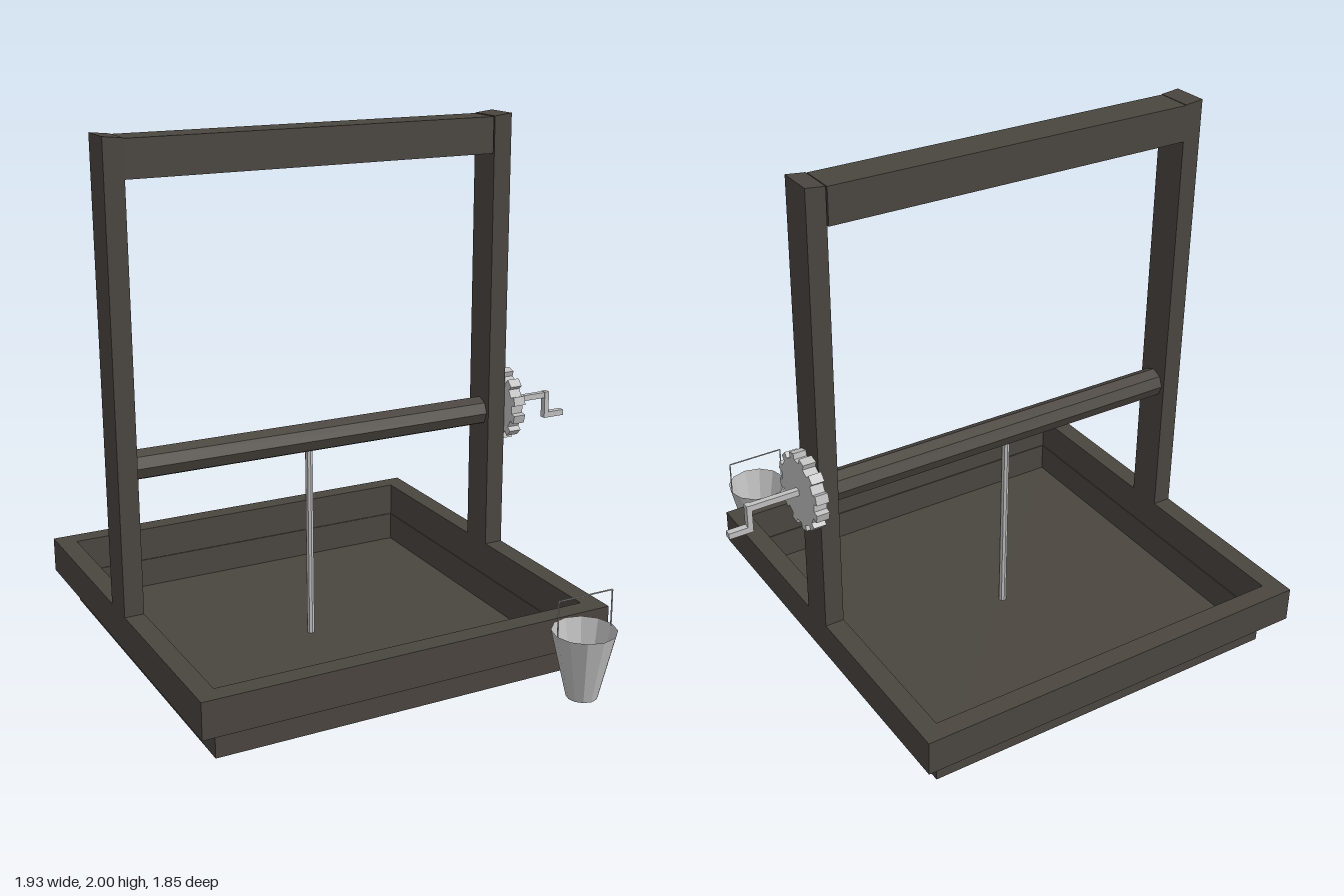
import * as THREE from 'three';

export function createModel() {
  const model = new THREE.Group();
  const wood = new THREE.MeshStandardMaterial({ color: 0x4a453f, flatShading: true });
  wood.name = 'darkWood';
  const metal = new THREE.MeshStandardMaterial({ color: 0xc0c0c0, flatShading: true, side: THREE.DoubleSide });
  metal.name = 'greyMetal';

  const add = (name, geometry, material, x = 0, y = 0, z = 0) => {
    const mesh = new THREE.Mesh(geometry, material);
    mesh.name = name;
    mesh.position.set(x, y, z);
    model.add(mesh);
    return mesh;
  };
  // box given by its low and high corners
  const box = (name, material, [x0, y0, z0], [x1, y1, z1]) =>
    add(name, new THREE.BoxGeometry(x1 - x0, y1 - y0, z1 - z0), material,
      (x0 + x1) / 2, (y0 + y1) / 2, (z0 + z1) / 2);

  const cx = -0.164, cz = -0.123;      // centre of the tray
  const outer = 0.804, inner = 0.73;   // half widths of rim and basin
  const back = cz - 0.07, front = cz + 0.07;

  // square ring lying flat, standing on height y
  const ring = (name, half, hole, y, height) => {
    const square = (Type, s) => new Type([[-s, -s], [s, -s], [s, s], [-s, s]].map(p => new THREE.Vector2(...p)));
    const shape = square(THREE.Shape, half);
    shape.holes.push(square(THREE.Path, hole));
    const geometry = new THREE.ExtrudeGeometry(shape, { depth: height, bevelEnabled: false });
    geometry.rotateX(-Math.PI / 2);
    add(name, geometry, wood, cx, y, cz);
  };

  // tray: heavy rim over a thin walled basin
  ring('trayRim', outer, inner, 0.135, 0.137);
  ring('basinWalls', inner, inner - 0.004, 0.015, 0.122);
  box('basinFloor', wood, [cx - inner, 0.015, cz - inner], [cx + inner, 0.02, cz + inner]);

  // posts, with tops sloping slightly inward
  for (const side of [-1, 1]) {
    const points = [[inner, 0.27], [outer, 0.27], [outer, 2], [inner, 1.992]]
      .map(([x, y]) => new THREE.Vector2(side * x, y));
    const geometry = new THREE.ExtrudeGeometry(new THREE.Shape(points), { depth: 0.14, bevelEnabled: false });
    add(side < 0 ? 'rightPost' : 'leftPost', geometry, wood, cx, 0, back);
  }
  box('topBeam', wood, [cx - inner, 1.852, back], [cx + inner - 0.005, 1.99, front]);

  // octagonal winding axle and the rod hanging from it
  const axle = new THREE.CylinderGeometry(0.057, 0.057, 2 * inner, 8);
  axle.rotateZ(Math.PI / 2);
  add('axle', axle, wood, cx, 0.821, cz);
  add('hangingRod', new THREE.CylinderGeometry(0.015, 0.015, 0.78, 8), metal, -0.19, 0.39, cz);

  // twelve toothed gear
  const gearPoints = [];
  for (let i = 0; i < 12; i++) {
    const a = (i + 0.5) * Math.PI / 6;
    for (const [r, d] of [[0.125, -0.13], [0.147, -0.12], [0.147, 0.12], [0.125, 0.13]]) {
      gearPoints.push(new THREE.Vector2(r * Math.cos(a + d), r * Math.sin(a + d)));
    }
  }
  const gear = new THREE.ExtrudeGeometry(new THREE.Shape(gearPoints), { depth: 0.05, bevelEnabled: false });
  gear.rotateY(Math.PI / 2);
  add('gear', gear, metal, 0.64, 0.843, cz);

  // crank
  box('crankShaft', metal, [0.69, 0.832, cz - 0.011], [0.875, 0.855, cz + 0.011]);
  box('crankArm', metal, [0.873, 0.747, cz - 0.013], [0.893, 0.857, cz + 0.013]);
  box('crankHandle', metal, [0.893, 0.747, cz - 0.013], [0.966, 0.77, cz + 0.013]);

  // open bucket with a thin wire handle
  const bx = 0.441, bz = 0.808;
  const profile = [[0, 0.015], [0.058, 0.015], [0.119, 0.272]].map(p => new THREE.Vector2(...p));
  add('bucket', new THREE.LatheGeometry(profile, 12), metal, bx, 0, bz);
  const t = 0.002;
  for (const side of [-1, 1]) {
    const x = bx + side * 0.115;
    box('bucketHandleSide', metal, [x - t, 0.265, bz - t], [x + t, 0.405, bz + t]);
  }
  box('bucketHandleTop', metal, [bx - 0.115, 0.403, bz - t], [bx + 0.115, 0.407, bz + t]);

  return model;
}
